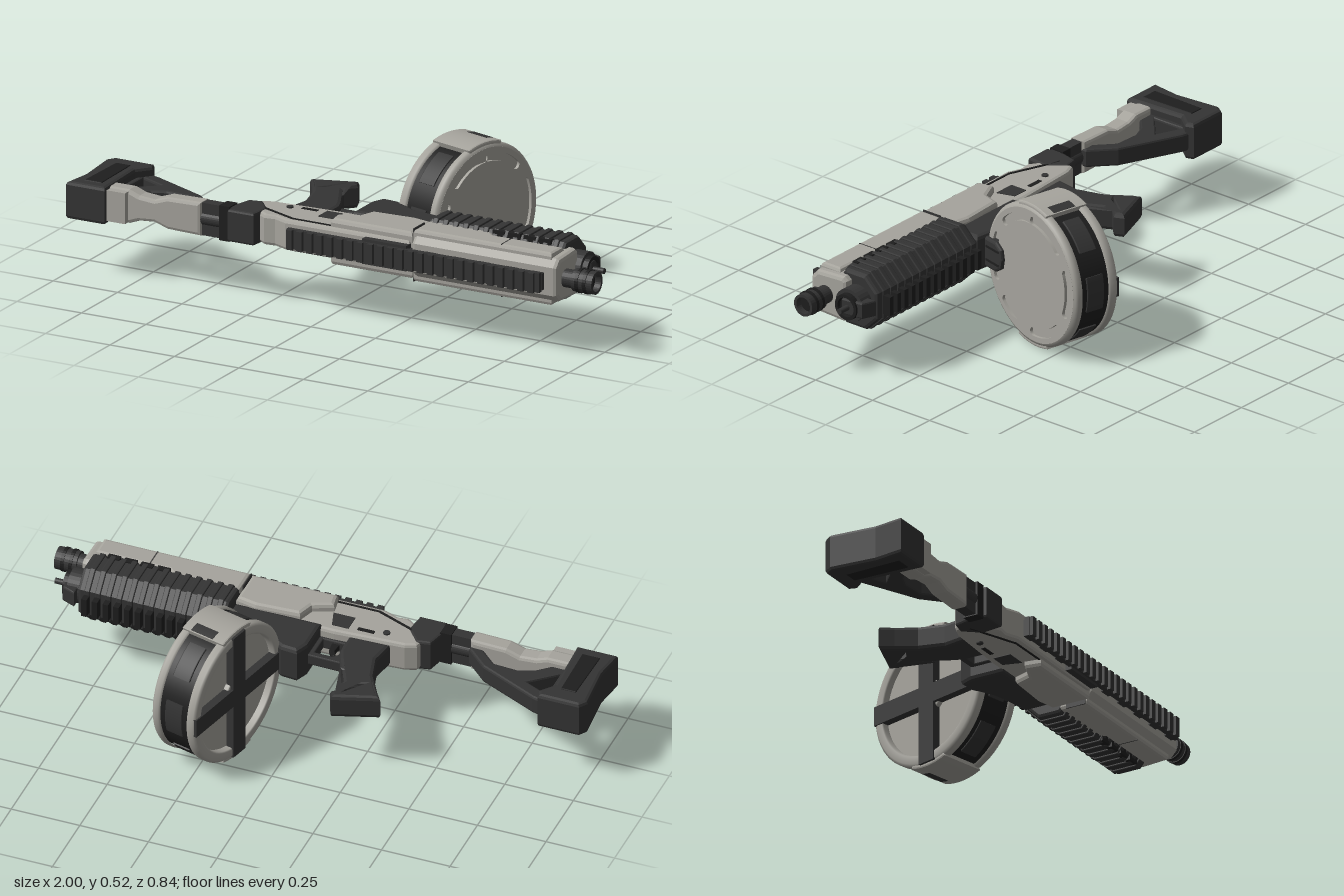
import * as THREE from 'three';

const mat = (name, color) => Object.assign(new THREE.MeshStandardMaterial({ color }), { name });
const light = mat('light grey polymer', 0xa6a49d);
const dark = mat('dark grey metal', 0x343434);
const black = mat('black rubber', 0x1e1e1e);
const MID = 0.2625; // height of the symmetry plane

export function createModel() {
  const root = new THREE.Group();
  root.name = 'model';

  const add = (name, geo, m, parent = root) => {
    const mesh = new THREE.Mesh(geo, m);
    mesh.name = name;
    parent.add(mesh);
    return mesh;
  };
  const poly = (pts) => new THREE.Shape(pts.map((p) => new THREE.Vector2(...p)));
  const extrude = (shape, depth, bevel) => {
    const b = Math.min(bevel, depth * 0.4);
    const g = new THREE.ExtrudeGeometry(shape, {
      depth: depth - 2 * b, bevelEnabled: b > 0, bevelSize: b, bevelOffset: -b,
      bevelThickness: b, bevelSegments: 2, curveSegments: 24,
    });
    return g.translate(0, 0, b - depth / 2);
  };
  // outline in (x, z), extruded symmetrically about the middle plane
  const slab = (name, pts, half, m, bevel = 0.008, holes = []) => {
    const s = poly(pts);
    s.holes = holes.map(poly);
    return add(name, extrude(s, half * 2, bevel).rotateX(Math.PI / 2).translate(0, MID, 0), m);
  };
  // section in (-z, y), extruded along x
  const along = (name, shape, x0, x1, m, bevel = 0, parent = root) =>
    add(name, extrude(shape, x1 - x0, bevel).rotateY(Math.PI / 2).translate((x0 + x1) / 2, 0, 0), m, parent);
  const box = (name, x0, x1, z0, z1, half, m, y = MID) =>
    add(name, new THREE.BoxGeometry(x1 - x0, half * 2, z1 - z0)
      .translate((x0 + x1) / 2, y, (z0 + z1) / 2), m);
  const tube = (name, x0, x1, z, r, m, open = 0) => {
    const pts = [[0, x0], [r, x0], [r, x1], [r * 0.75, x1], [r * 0.7, x1 - open], [0, x1 - open]];
    const g = new THREE.LatheGeometry(pts.map((p) => new THREE.Vector2(...p)), 28).toNonIndexed();
    g.computeVertexNormals();
    return add(name, g.rotateZ(-Math.PI / 2).translate(0, MID, z), m);
  };

  // --- Stock
  slab('buttPad', [[-1, 0.41], [-0.985, 0.3], [-1, 0.13], [-0.98, 0.1], [-0.83, 0.1], [-0.82, 0.13],
    [-0.86, 0.18], [-0.85, 0.41]], 0.067, dark, 0.012);
  slab('buttPadInset', [[-0.95, 0.37], [-0.945, 0.16], [-0.89, 0.16], [-0.885, 0.37]], 0.07, black, 0.003);
  slab('stockStrut', [[-0.86, 0.11], [-0.8, 0.125], [-0.58, 0.225], [-0.5, 0.3], [-0.5, 0.33], [-0.54, 0.32],
    [-0.61, 0.255], [-0.7, 0.25], [-0.75, 0.27], [-0.8, 0.315], [-0.87, 0.33]], 0.034, dark, 0.008,
  [[[-0.84, 0.16], [-0.75, 0.2], [-0.84, 0.28]]]);
  const side = [[-0.86, 0.06], [-0.78, 0.06], [-0.74, 0.045], [-0.68, 0.04], [-0.63, 0.057], [-0.5, 0.06]];
  const comb = poly([...side, ...side.slice().reverse().map(([x, y]) => [x, -y])]);
  add('stockComb', extrude(comb, 0.065, 0.012).translate(0, MID, 0.34), light);
  box('stockCombRear', -0.86, -0.78, 0.33, 0.395, 0.055, light);
  for (const s of [-1, 1]) box('stockRod', -0.51, -0.38, 0.32, 0.36, 0.022, dark, MID + s * 0.036);
  tube('stockTube', -0.52, -0.36, 0.34, 0.028, dark);
  box('stockCollar', -0.43, -0.39, 0.312, 0.368, 0.062, black);

  // --- Receiver
  slab('receiverEnd', [[-0.395, 0.31], [-0.38, 0.25], [-0.33, 0.24], [-0.28, 0.3], [-0.29, 0.38], [-0.39, 0.38]],
    0.058, dark, 0.008);
  slab('receiver', [[-0.36, 0.29], [-0.34, 0.225], [-0.3, 0.21], [-0.05, 0.195], [0.31, 0.2], [0.31, 0.37],
    [-0.17, 0.375], [-0.22, 0.355], [-0.26, 0.36]], 0.055, light, 0.012);
  slab('receiverFront', [[-0.01, 0.3], [0.06, 0.27], [0.08, 0.21], [0.24, 0.2], [0.315, 0.215], [0.315, 0.36],
    [0, 0.36]], 0.083, light, 0.014);
  slab('receiverSeam', [[-0.34, 0.285], [-0.335, 0.278], [-0.15, 0.35], [0.0, 0.35], [0, 0.357], [-0.155, 0.357]],
    0.058, black, 0);
  slab('ejectionPort', [[-0.09, 0.225], [-0.03, 0.225], [-0.01, 0.29], [-0.09, 0.29]], 0.057, dark, 0);
  box('selectorSlot', -0.18, -0.12, 0.23, 0.245, 0.057, black);
  for (const s of [-1, 1]) {
    add('receiverPin', new THREE.CylinderGeometry(0.012, 0.012, 0.008, 16)
      .translate(-0.22, MID + s * 0.056, 0.25), dark);
  }
  box('sightBlock', 0.14, 0.31, 0.35, 0.395, 0.045, dark);

  // --- Grip, trigger and magazine well
  slab('grip', [[-0.33, -0.085], [-0.17, -0.14], [-0.155, -0.105], [-0.19, -0.07], [-0.115, 0.08], [-0.1, 0.12],
    [-0.1, 0.21], [-0.25, 0.21], [-0.235, 0.12], [-0.26, 0.03], [-0.3, -0.04]], 0.044, dark, 0.014, [
    [[-0.295, -0.07], [-0.22, -0.095], [-0.27, -0.03]],
    [[-0.2, -0.085], [-0.195, -0.055], [-0.25, -0.025]],
    [[-0.18, -0.035], [-0.155, 0.015], [-0.235, 0.0]],
    [[-0.235, 0.025], [-0.165, 0.045], [-0.21, 0.085]],
  ]);
  slab('triggerGuard', [[-0.12, 0.08], [0.01, 0.082], [0.01, 0.21], [-0.12, 0.21]], 0.02, dark, 0.004,
    [[[-0.095, 0.12], [-0.08, 0.105], [-0.015, 0.105], [-0.015, 0.185], [-0.09, 0.185]]]);
  slab('trigger', [[-0.075, 0.19], [-0.07, 0.15], [-0.085, 0.12], [-0.07, 0.12], [-0.05, 0.15], [-0.045, 0.19]],
    0.01, black, 0.002);
  slab('magazineWell', [[0, 0.21], [0, 0.08], [0.02, 0.03], [0.08, 0.035], [0.17, 0.085], [0.315, 0.105],
    [0.315, 0.21]], 0.066, dark, 0.014);

  // --- Handguard
  const oct = [[-0.245, 0.105], [-0.155, 0.105], [-0.1, 0.05], [-0.1, -0.05], [-0.155, -0.105], [-0.245, -0.105],
    [-0.28, -0.06], [-0.28, 0.06]];
  const octShape = (k) => poly(oct.map(([u, v]) => [-0.18 + (u + 0.18) * k, MID + v * k]));
  along('lowerHandguard', octShape(0.97), 0.315, 0.85, dark, 0.012);
  for (let i = 0; i < 13; i++) {
    const x = 0.335 + i * 0.039;
    along('handguardRib', octShape(1.03), x, x + 0.02, dark, 0.003);
    box('handguardTooth', x, x + 0.02, 0.07, 0.1, 0.035, black);
  }
  const hood = poly([[-0.37, 0.05], [-0.345, 0.077], [-0.23, 0.083], [-0.215, 0.07], [-0.215, -0.07],
    [-0.23, -0.083], [-0.345, -0.077], [-0.37, -0.05]].map(([u, v]) => [u, MID + v]));
  along('upperHandguard', hood, 0.315, 0.88, light, 0.014);
  slab('handguardSidePanel', [[0.315, 0.235], [0.55, 0.235], [0.58, 0.265], [0.85, 0.265], [0.85, 0.35],
    [0.315, 0.35]], 0.094, light, 0.012);
  for (let i = 0; i < 4; i++) box('ventSlot', 0.57 + i * 0.06, 0.615 + i * 0.06, 0.235, 0.258, 0.106, black);
  for (const x of [0.31, 0.65]) box('panelSeam', x, x + 0.004, 0.27, 0.345, 0.0945, dark);

  // --- Top rail with teeth and spaced feet
  box('topRail', -0.15, 0.83, 0.385, 0.402, 0.035, dark);
  for (let i = 0; i < 25; i++) box('railTooth', -0.145 + i * 0.039, -0.123 + i * 0.039, 0.4, 0.415, 0.035, dark);
  for (let i = 0; i < 10; i++) box('railFoot', -0.14 + i * 0.103, -0.095 + i * 0.103, 0.355, 0.39, 0.03, dark);

  // --- Barrel and lower tube
  tube('barrel', 0.85, 0.94, 0.305, 0.032, dark);
  tube('muzzle', 0.92, 1, 0.305, 0.04, dark, 0.05);
  for (const x of [0.935, 0.965]) tube('muzzleRing', x, x + 0.012, 0.305, 0.043, black);
  tube('lowerTube', 0.84, 0.9, 0.185, 0.06, dark);
  tube('lowerTubeCap', 0.89, 0.92, 0.185, 0.047, black, 0.012);
  slab('tubeBracket', [[0.86, 0.1], [0.91, 0.12], [0.92, 0.2], [0.86, 0.24]], 0.03, dark, 0.006);
  tube('tubeRod', 0.9, 0.96, 0.18, 0.01, dark);

  // --- Drum magazine, tilted about y; local x is its axis
  const drum = new THREE.Group();
  drum.name = 'drumMagazine';
  drum.position.set(0.238, MID, -0.16);
  drum.rotation.y = -0.245;
  root.add(drum);
  const lathe = (name, pts, m) =>
    add(name, new THREE.LatheGeometry(pts.map((p) => new THREE.Vector2(...p)), 72).rotateZ(-Math.PI / 2), m, drum);
  const arc = (r0, r1, mid, half, Kind = THREE.Shape) => {
    const a = THREE.MathUtils.degToRad(mid - half), b = THREE.MathUtils.degToRad(mid + half);
    const s = new Kind();
    s.absarc(0, 0, r1, a, b, false);
    const c = (a0) => [Math.cos(a0) * (r0 + r1) / 2, Math.sin(a0) * (r0 + r1) / 2];
    if (Kind === THREE.Path) s.absarc(...c(b), (r1 - r0) / 2, b, b + Math.PI, false);
    s.absarc(0, 0, r0, b, a, true);
    if (Kind === THREE.Path) s.absarc(...c(a), (r1 - r0) / 2, a + Math.PI, a + 2 * Math.PI, false);
    s.closePath();
    return s;
  };
  lathe('drumBand', [[0.245, -0.07], [0.245, 0.07]], black);
  lathe('frontRim', [[0.2, 0.085], [0.2, 0.055], [0.247, 0.055], [0.255, 0.06], [0.255, 0.076], [0.25, 0.085],
    [0.24, 0.09]].slice(2), light);
  lathe('rearRim', [[0.215, -0.06], [0.215, -0.088], [0.22, -0.092], [0.245, -0.092], [0.255, -0.084],
    [0.255, -0.06], [0.244, -0.055]], light);
  const face = new THREE.Shape().absarc(0, 0, 0.241, 0, Math.PI * 2, false);
  face.holes = [0, 66, 114, 180, 246, 294].map((a) => arc(0.192, 0.222, a, 21, THREE.Path));
  along('frontFace', face, 0.078, 0.09, light, 0, drum);
  const disc = (r) => new THREE.Shape().absarc(0, 0, r, 0, Math.PI * 2, false);
  along('slotFloor', disc(0.241), 0.07, 0.079, light, 0, drum);
  along('rearFloor', disc(0.22), -0.066, -0.055, light, 0, drum);
  along('rearHub', disc(0.06), -0.085, -0.06, light, 0.004, drum);
  for (const a of [90, 270]) {
    along('drumCap', arc(0.23, 0.2625, a, 18), -0.088, 0.085, light, 0.006, drum);
    along('capPad', arc(0.24, 0.2635, a - (a === 90 ? 13 : -13), 4), -0.04, 0.05, dark, 0, drum);
  }
  for (const a of [50, 130, 180, 230, 310, 0]) {
    along('bandPanel', arc(0.235, 0.25, a, 15), -0.035, 0.035, dark, 0.003, drum);
  }
  for (const a of [0, Math.PI / 2]) {
    add('rearCross', new THREE.BoxGeometry(0.03, 0.07, 0.5).rotateX(a).translate(-0.082, 0, 0), dark, drum);
  }
  const tab = poly([[-0.12, 0.055], [0.12, 0.055], [0.15, 0.035], [0.157, 0], [0.15, -0.035], [0.12, -0.055],
    [-0.12, -0.055]].map(([u, v]) => [u - 0.305, v]));
  along('feedTower', tab, -0.02, 0.105, dark, 0.008, drum);
  for (const s of [-1, 1]) {
    add('towerGroove', new THREE.BoxGeometry(0.004, 0.008, 0.07).translate(0.105, s * 0.025, 0.2), black, drum);
  }
  return root;
}
